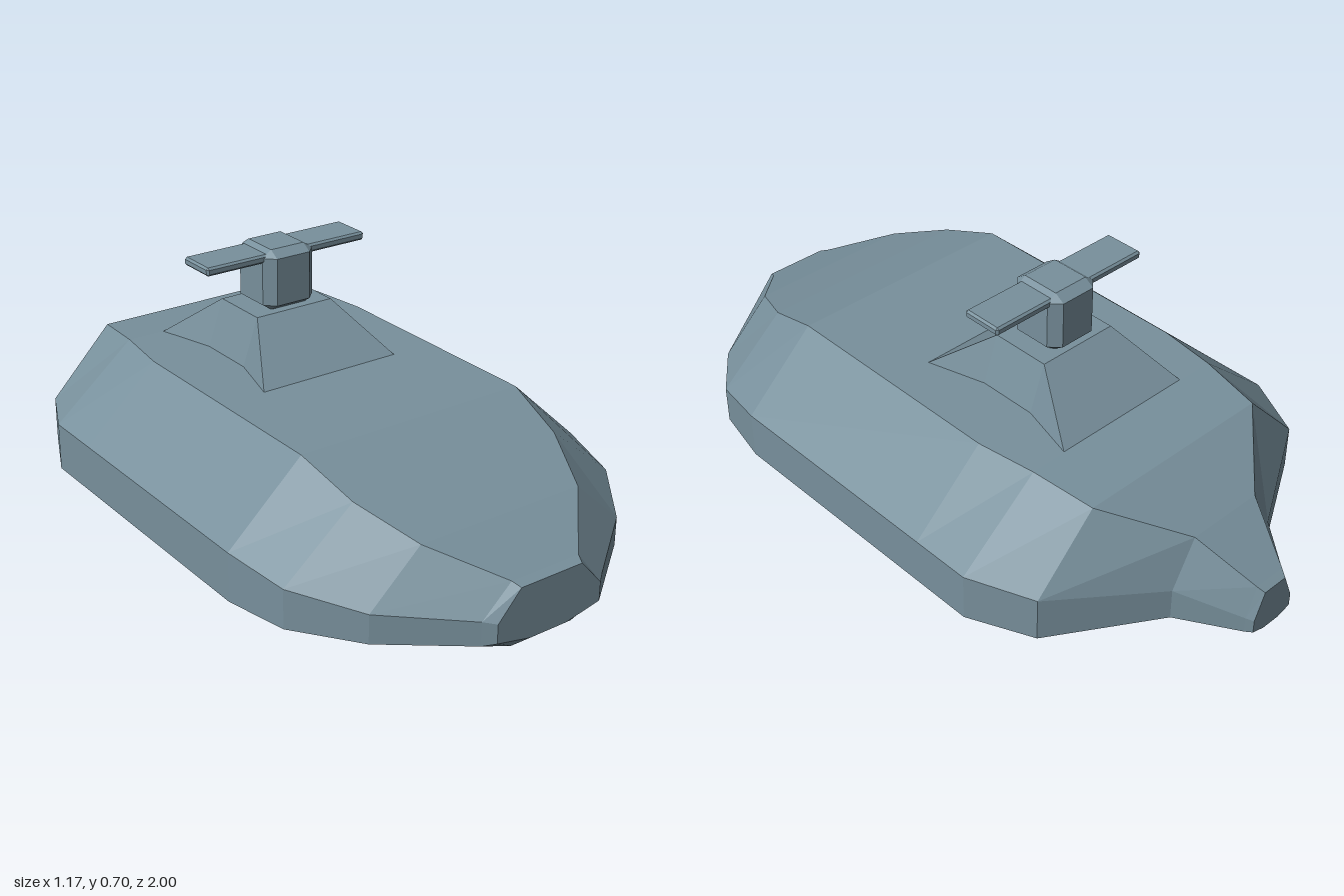
import * as THREE from 'three';
import { ConvexGeometry } from 'three/addons/geometries/ConvexGeometry.js';

const material = new THREE.MeshStandardMaterial({ color: 0x78909c, flatShading: true });

function addMesh(group, name, geometry) {
  const mesh = new THREE.Mesh(geometry, material);
  mesh.name = name;
  group.add(mesh);
  return mesh;
}

// Skin between rings of equal point count, ordered front to back, closed with end caps
function loft(rings) {
  const pos = [];
  const tri = (...pts) => pts.forEach((p) => pos.push(...p));
  const n = rings[0].length;
  for (let i = 0; i < rings.length - 1; i++) {
    const a = rings[i], b = rings[i + 1];
    for (let j = 0; j < n; j++) {
      const k = (j + 1) % n;
      tri(a[j], b[j], b[k]);
      tri(a[j], b[k], a[k]);
    }
  }
  const first = rings[0], last = rings[rings.length - 1];
  for (let j = 1; j < n - 1; j++) {
    tri(first[0], first[j], first[j + 1]);
    tri(last[0], last[j + 1], last[j]);
  }
  const geo = new THREE.BufferGeometry();
  geo.setAttribute('position', new THREE.Float32BufferAttribute(pos, 3));
  geo.computeVertexNormals();
  return geo;
}

// Box with every edge chamfered by (cx, cy, cz)
function chamferBox(w, h, d, cx, cy, cz) {
  const pts = [];
  for (const sx of [-1, 1]) for (const sy of [-1, 1]) for (const sz of [-1, 1]) {
    const x = w / 2, y = h / 2, z = d / 2;
    pts.push(
      new THREE.Vector3(sx * x, sy * (y - cy), sz * (z - cz)),
      new THREE.Vector3(sx * (x - cx), sy * y, sz * (z - cz)),
      new THREE.Vector3(sx * (x - cx), sy * (y - cy), sz * z)
    );
  }
  return new ConvexGeometry(pts);
}

// Hull stations: z, keel half width, keel y, side half width, chine y, shoulder y, deck half width, deck y
const stations = [
  [1, 0.06, 0.022, 0.17, 0.045, 0.1, 0.1, 0.178],
  [0.975, 0.1, 0, 0.2, 0.036, 0.105, 0.11, 0.188],
  [0.81, 0.15, 0, 0.415, 0.036, 0.12, 0.26, 0.262],
  [0.635, 0.18, 0, 0.545, 0.036, 0.15, 0.335, 0.325],
  [0.45, 0.18, 0, 0.585, 0.036, 0.178, 0.36, 0.385],
  [-0.275, 0.18, 0, 0.585, 0.036, 0.178, 0.362, 0.385],
  [-0.455, 0.18, 0, 0.585, 0.036, 0.178, 0.338, 0.385],
  [-0.64, 0.16, 0, 0.5, 0.036, 0.168, 0.31, 0.365],
  [-0.82, 0.1, 0, 0.192, 0.03, 0.125, 0.118, 0.265],
  [-0.98, 0.05, 0, 0.085, 0.022, 0.07, 0.05, 0.158],
  [-1, 0.03, 0.012, 0.073, 0.025, 0.065, 0.04, 0.145],
];

function hullRing([z, wk, yk, w, yc, ys, wd, yd]) {
  const half = [[wk, yk], [w, yc], [w, ys], [wd, yd]];
  return [
    ...half.map(([x, y]) => [x, y, z]),
    ...half.reverse().map(([x, y]) => [-x, y, z]),
  ];
}

// Mount ring with flared corners and waisted sides; ordered for a top-to-bottom loft
function mountRing(y, xEnd, xWaist, zEnd, zWaist) {
  const plan = [
    [xEnd, zEnd], [xWaist, zWaist], [xWaist, -zWaist], [xEnd, -zEnd],
    [-xEnd, -zEnd], [-xWaist, -zWaist], [-xWaist, zWaist], [-xEnd, zEnd],
  ];
  return plan.map(([x, z]) => [x, y, z]);
}

export function createModel() {
  const model = new THREE.Group();
  model.name = 'armouredVehicle';

  addMesh(model, 'hull', loft(stations.map(hullRing)));

  // Turret: flared mount, chamfered head and a flat crossbar
  const turret = new THREE.Group();
  turret.name = 'turret';
  turret.position.z = -0.185;
  model.add(turret);

  addMesh(turret, 'mount', loft([
    mountRing(0.523, 0.127, 0.127, 0.091, 0.09),
    mountRing(0.38, 0.228, 0.177, 0.273, 0.09),
  ]));

  const head = addMesh(turret, 'head', chamferBox(0.17, 0.18, 0.175, 0.03, 0.02, 0.03));
  head.position.y = 0.61;

  // Crossbar arms, left and right
  for (const side of [1, -1]) {
    const arm = addMesh(turret, side > 0 ? 'leftArm' : 'rightArm', chamferBox(0.21, 0.025, 0.122, 0.006, 0.006, 0.006));
    arm.position.set(side * 0.163, 0.677, 0);
  }

  return model;
}
